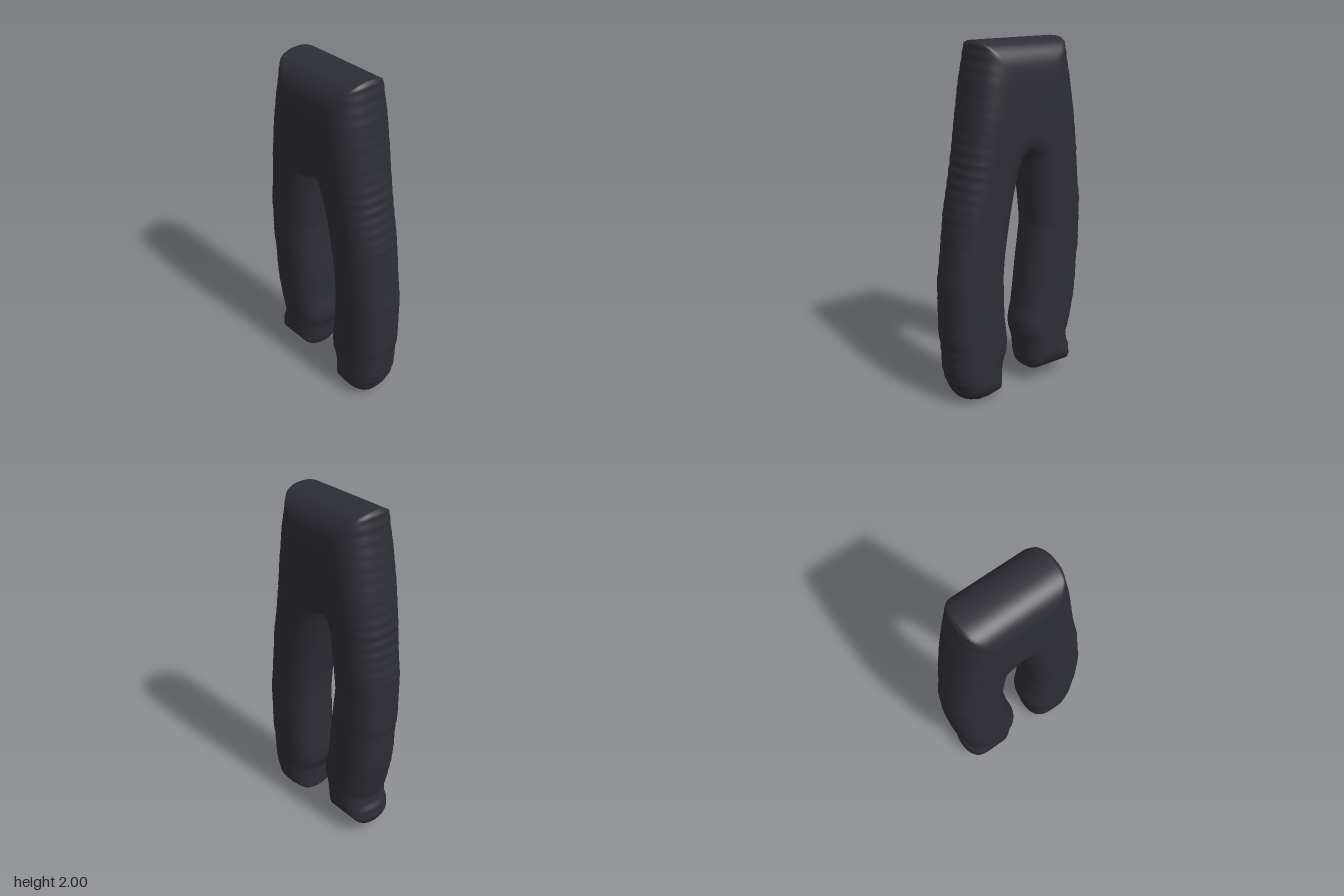
import * as THREE from 'three';
import { mergeVertices } from 'three/addons/utils/BufferGeometryUtils.js';

const CROTCH = { x: -0.05, y: 1.37 };
const TOP = 2;

// Side and inner seam profiles as [y, x], from hem upwards
const rightOuter = [[0.075, -0.355], [0.09, -0.385], [0.12, -0.395], [0.19, -0.393], [0.23, -0.375], [0.27, -0.367],
  [0.35, -0.39], [0.45, -0.41], [0.5, -0.42], [0.6, -0.43], [0.75, -0.435], [0.8, -0.446], [1.1, -0.446], [1.2, -0.43],
  [1.4, -0.41], [1.5, -0.395], [1.6, -0.38], [1.8, -0.345], [1.9, -0.325], [1.98, -0.313], [2, -0.295]];
const rightInner = [[0.075, -0.12], [0.1, -0.085], [0.15, -0.07], [0.25, -0.06], [0.33, -0.035], [0.4, -0.035],
  [0.48, -0.055], [0.6, -0.07], [0.7, -0.08], [0.85, -0.1], [0.97, -0.115], [1.1, -0.103], [1.2, -0.092],
  [1.3, -0.08], [1.35, -0.07], [1.362, -0.063], [1.37, CROTCH.x]];
const leftOuter = [[0.005, 0.28], [0.02, 0.33], [0.04, 0.37], [0.13, 0.41], [0.2, 0.425], [0.35, 0.432], [0.4, 0.443],
  [0.72, 0.443], [0.8, 0.43], [0.9, 0.418], [1, 0.407], [1.1, 0.395], [1.2, 0.375], [1.3, 0.355], [1.4, 0.337],
  [1.5, 0.32], [1.7, 0.29], [1.8, 0.275], [1.9, 0.255], [1.98, 0.242], [2, 0.225]];
const leftInner = [[0.005, 0.22], [0.015, 0.17], [0.025, 0.125], [0.05, 0.1], [0.2, 0.095], [0.27, 0.067], [0.35, 0.062],
  [0.5, 0.08], [0.73, 0.085], [0.85, 0.075], [0.98, 0.055], [1.1, 0.035], [1.2, 0.015], [1.3, -0.01],
  [1.35, -0.03], [1.362, -0.037], [1.37, CROTCH.x]];
const halfDepth = [[0, 0.15], [1.0, 0.15], [1.3, 0.156], [1.6, 0.168], [1.8, 0.168], [2, 0.16]];

function sample(table, y) {
  for (let i = 1; i < table.length; i++) {
    const [y0, x0] = table[i - 1], [y1, x1] = table[i];
    if (y <= y1) return x0 + (x1 - x0) * Math.max(0, (y - y0) / (y1 - y0));
  }
  return table[table.length - 1][1];
}

// Spacing that crowds towards both ends
const ease = (t) => (1 - Math.cos(Math.PI * t)) / 2;

// Rows of one half: the leg up to the crotch, then half of the hips
function buildRows(outer, inner) {
  const bottom = outer[0][0], rows = [], legRows = 90, hipRows = 44;
  for (let i = 0; i <= legRows + hipRows; i++) {
    const leg = i <= legRows;
    const y = leg ? bottom + (CROTCH.y - bottom) * ease(i / legRows)
      : CROTCH.y + (TOP - CROTCH.y) * ease((i - legRows) / hipRows);
    const pucker = 0.002 * Math.sin(y * 105) * Math.sign(outer[0][1]);
    const a = sample(outer, y) + pucker;
    const b = leg ? sample(inner, y) : CROTCH.x;
    rows.push({ y, leg, outer: a, inner: b, lo: Math.min(a, b), hi: Math.max(a, b) });
  }
  return rows;
}

// Outline segments of one half, without the shared centre line of the hips
function outlineOf(rows) {
  const segs = [], first = rows[0], last = rows[rows.length - 1];
  segs.push([first.lo, first.y, first.hi, first.y], [last.lo, last.y, last.hi, last.y]);
  for (let i = 1; i < rows.length; i++) {
    const p = rows[i - 1], q = rows[i];
    segs.push([p.outer, p.y, q.outer, q.y]);
    if (q.leg) segs.push([p.inner, p.y, q.inner, q.y]);
  }
  return segs;
}

function distanceTo(segs, x, y) {
  let best = Infinity;
  for (const [ax, ay, bx, by] of segs) {
    const dx = bx - ax, dy = by - ay, len = dx * dx + dy * dy || 1e-12;
    const t = Math.min(1, Math.max(0, ((x - ax) * dx + (y - ay) * dy) / len));
    best = Math.min(best, (ax + t * dx - x) ** 2 + (ay + t * dy - y) ** 2);
  }
  return Math.sqrt(best);
}

// Cloth puffs out from the outline with a rounded edge
function puff(d, y) {
  const u = 1 - Math.min(d / 0.16, 1);
  return d < 1e-6 ? 0 : sample(halfDepth, y) * Math.pow(1 - Math.pow(u, 2.5), 0.4);
}

function trouserGeometry() {
  const halves = [buildRows(rightOuter, rightInner), buildRows(leftOuter, leftInner)];
  const segs = halves.flatMap(outlineOf);
  const positions = [], indices = [], cols = 28;
  for (const rows of halves) {
    for (const side of [1, -1]) {
      const base = positions.length / 3;
      rows.forEach((row, i) => {
        for (let j = 0; j <= cols; j++) {
          const x = row.lo + (row.hi - row.lo) * ease(j / cols);
          positions.push(x, row.y, side * puff(distanceTo(segs, x, row.y), row.y));
          if (i === 0 || j === 0) continue;
          const d = base + i * (cols + 1) + j, c = d - 1, b = d - cols - 1, a = b - 1;
          if (side > 0) indices.push(a, b, d, a, d, c);
          else indices.push(a, d, b, a, c, d);
        }
      });
    }
  }
  const geometry = new THREE.BufferGeometry();
  geometry.setAttribute('position', new THREE.Float32BufferAttribute(positions, 3));
  geometry.setIndex(indices);
  const welded = mergeVertices(geometry, 1e-5);
  welded.computeVertexNormals();
  return welded;
}

export function createModel() {
  const group = new THREE.Group();
  group.name = 'trousers';
  const cloth = new THREE.MeshStandardMaterial({ color: 0x2d2d35 });
  cloth.name = 'charcoal cloth';
  const mesh = new THREE.Mesh(trouserGeometry(), cloth);
  mesh.name = 'trouserLegsAndHips';
  group.add(mesh);
  return group;
}
